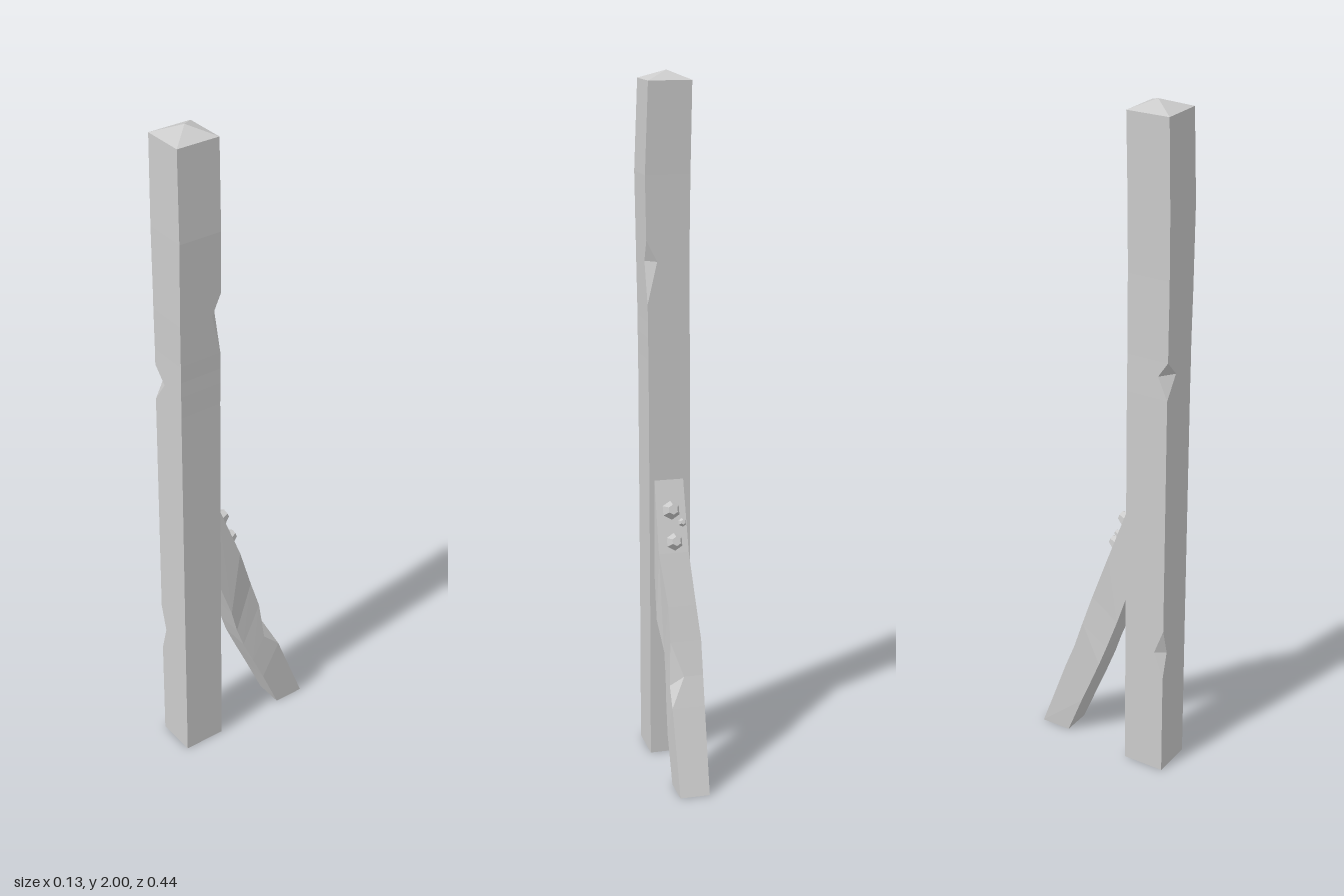
import * as THREE from 'three';

const material = new THREE.MeshStandardMaterial({ color: 0xcccccc, flatShading: true, roughness: 0.9 });

// Ring of 8 points: four corners, each split in two so that it can be cut away.
// left/right are x limits; front/back are [z, y]. cut = [corner, length along previous side, along next side]
function ring(left, right, front, back, cut) {
  const corners = [
    new THREE.Vector3(left, front[1], front[0]),
    new THREE.Vector3(right, front[1], front[0]),
    new THREE.Vector3(right, back[1], back[0]),
    new THREE.Vector3(left, back[1], back[0]),
  ];
  return corners.flatMap((c, i) => {
    const [before, after] = cut && cut[0] === i ? [cut[1], cut[2]] : [0, 0];
    const toward = (q, d) => c.clone().add(q.clone().sub(c).setLength(d));
    return [toward(corners[(i + 3) % 4], before), toward(corners[(i + 1) % 4], after)];
  });
}

// Skins rings from bottom to top; the upper end closes on the apex point
function loft(name, rings, apex) {
  const pos = [];
  const tri = (a, b, c) => {
    const area = b.clone().sub(a).cross(c.clone().sub(a)).length();
    if (area > 1e-9) for (const p of [a, b, c]) pos.push(p.x, p.y, p.z);
  };
  for (let r = 0; r < rings.length - 1; r++) {
    const a = rings[r], b = rings[r + 1];
    for (let i = 0; i < 8; i++) {
      const j = (i + 1) % 8;
      tri(a[i], a[j], b[j]);
      tri(a[i], b[j], b[i]);
    }
  }
  const first = rings[0], last = rings[rings.length - 1];
  const base = first.reduce((s, p) => s.add(p), new THREE.Vector3()).divideScalar(8);
  for (let i = 0; i < 8; i++) {
    tri(base, first[(i + 1) % 8], first[i]);
    tri(apex, last[i], last[(i + 1) % 8]);
  }
  const geometry = new THREE.BufferGeometry();
  geometry.setAttribute('position', new THREE.Float32BufferAttribute(pos, 3));
  geometry.computeVertexNormals();
  const mesh = new THREE.Mesh(geometry, material);
  mesh.name = name;
  return mesh;
}

export function createModel() {
  const group = new THREE.Group();
  group.name = 'bracedPost';

  // Upright post with chipped edges and a low pointed top
  const level = (y, left, right, front, back, cut) => ring(left, right, [front, y], [back, y], cut);
  group.add(loft('post', [
    level(0, -0.066, 0.055, 0.217, 0.09),
    level(0.32, -0.066, 0.055, 0.217, 0.09),
    level(0.40, -0.066, 0.055, 0.217, 0.09, [0, 0.03, 0.021]),
    level(0.48, -0.066, 0.055, 0.217, 0.09),
    level(1.20, -0.064, 0.057, 0.217, 0.09),
    level(1.265, -0.063, 0.058, 0.217, 0.09, [0, 0.03, 0.043]),
    level(1.31, -0.062, 0.058, 0.217, 0.09),
    level(1.36, -0.062, 0.059, 0.217, 0.09),
    level(1.48, -0.062, 0.061, 0.218, 0.09, [2, 0.027, 0.03]),
    level(1.54, -0.062, 0.062, 0.218, 0.09),
    level(1.72, -0.064, 0.065, 0.218, 0.09),
    level(1.975, -0.068, 0.056, 0.214, 0.087),
  ], new THREE.Vector3(-0.01, 2, 0.145)));

  // Crooked brace leaning against the back of the post
  group.add(loft('brace', [
    ring(-0.041, 0.045, [-0.13, 0], [-0.222, 0]),
    ring(-0.05, 0.045, [-0.075, 0.13], [-0.132, 0.235]),
    ring(-0.054, 0.04, [-0.04, 0.21], [-0.098, 0.315], [2, 0.035, 0.038]),
    ring(-0.057, 0.034, [-0.008, 0.285], [-0.065, 0.41]),
    ring(-0.05, 0.032, [0.015, 0.35], [-0.035, 0.505]),
    ring(-0.041, 0.047, [0.045, 0.44], [0.015, 0.65]),
    ring(-0.044, 0.041, [0.1, 0.6], [0.091, 0.85]),
  ], new THREE.Vector3(0, 0.73, 0.1)));

  // Faceted bolt heads on the brace's sloping face: x, y, z, radius
  const outward = new THREE.Vector3(0, 0.35, -0.94).normalize();
  [
    [0, 0.765, 0.058, 0.029],
    [-0.002, 0.68, 0.026, 0.027],
    [-0.03, 0.73, 0.046, 0.014],
  ].forEach(([x, y, z, r], i) => {
    const bolt = new THREE.Mesh(new THREE.CylinderGeometry(r * 0.5, r, r * 1.1, 6), material);
    bolt.name = 'boltHead' + (i + 1);
    bolt.quaternion.setFromUnitVectors(new THREE.Vector3(0, 1, 0), outward);
    bolt.position.set(x, y, z).addScaledVector(outward, r * 0.4);
    group.add(bolt);
  });

  return group;
}
